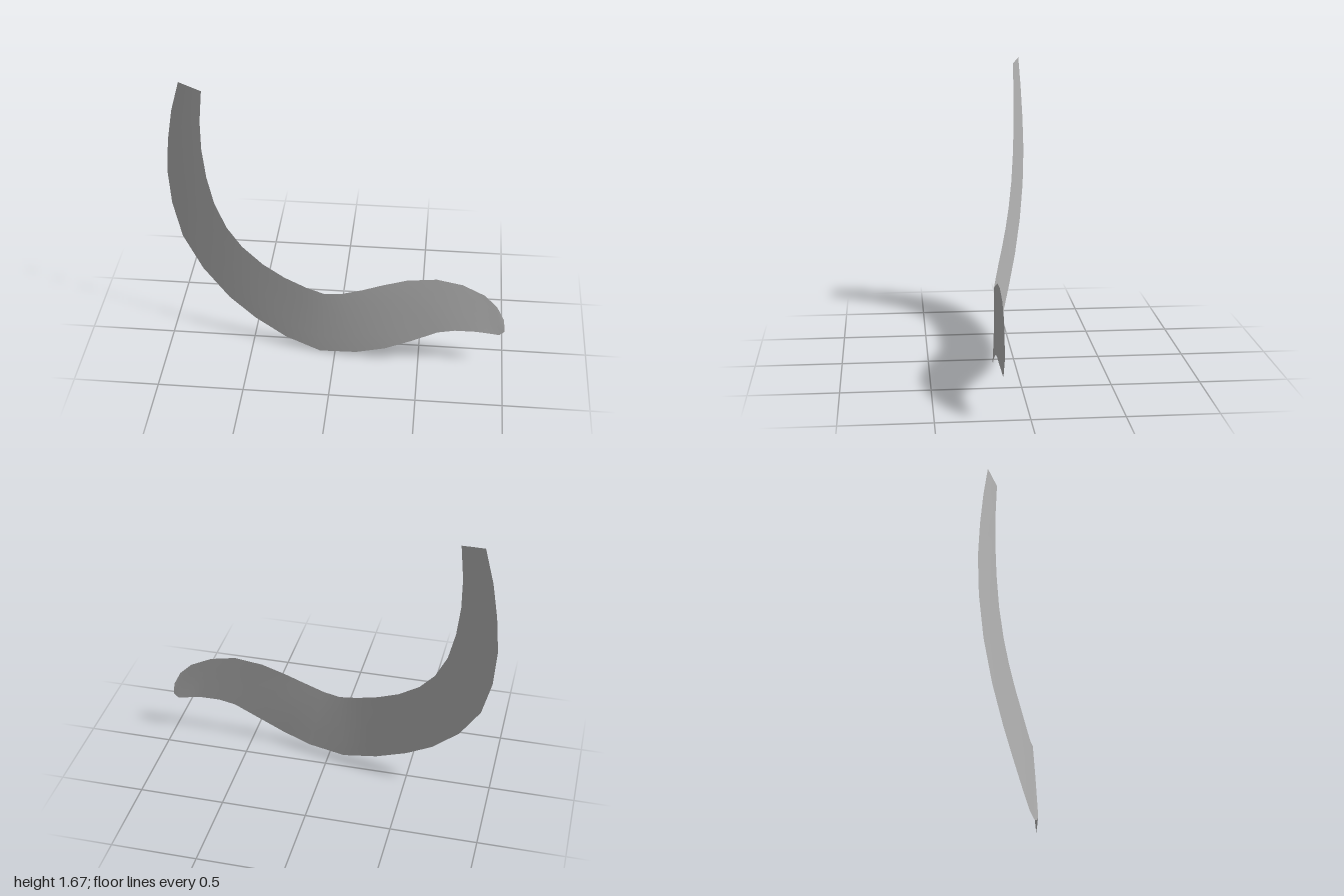
import * as THREE from 'three';

// Edges of the ribbon as x, y pairs, from the narrow tip to the rounded end
const OUTER = [
  [-0.89, 1.675], [-0.945, 1.48], [-0.98, 1.28], [-1, 1.07], [-0.985, 0.85], [-0.93, 0.63], [-0.81, 0.43],
  [-0.65, 0.265], [-0.49, 0.155], [-0.3, 0.06], [-0.09, 0], [0.13, 0.025], [0.3, 0.08], [0.45, 0.15],
  [0.61, 0.23], [0.71, 0.25], [0.83, 0.25], [0.9, 0.24], [0.97, 0.228], [1, 0.255],
];
const INNER = [
  [-0.755, 1.65], [-0.775, 1.45], [-0.775, 1.27], [-0.755, 1.09], [-0.715, 0.92], [-0.645, 0.77], [-0.555, 0.66],
  [-0.43, 0.565], [-0.3, 0.5], [-0.17, 0.455], [-0.06, 0.43], [0.04, 0.445], [0.16, 0.485], [0.28, 0.53],
  [0.42, 0.575], [0.59, 0.595], [0.74, 0.565], [0.87, 0.5], [0.945, 0.425], [0.99, 0.335],
];

// Backward sweep of the sheet as x, z pairs
const SWEEP = [
  [-1, -0.155], [-0.93, -0.125], [-0.81, -0.083], [-0.65, -0.03], [-0.55, 0], [-0.43, 0.032], [-0.3, 0.063],
  [-0.09, 0.104], [0.13, 0.125], [0.3, 0.135], [0.5, 0.14], [0.8, 0.139], [1, 0.137],
];

function sweepDepth(x) {
  let i = 0;
  while (i < SWEEP.length - 2 && x > SWEEP[i + 1][0]) i++;
  const [x0, z0] = SWEEP[i], [x1, z1] = SWEEP[i + 1];
  return z0 + (z1 - z0) * (x - x0) / (x1 - x0);
}

// The wide end leans slightly, its lower edge forward
function lean(x, v) {
  const amount = THREE.MathUtils.smoothstep(x, 0, 0.4) * (1 - 0.7 * THREE.MathUtils.smoothstep(x, 0.8, 1));
  return 0.026 * amount * (0.5 - v);
}

export function createModel() {
  const across = 4;
  const positions = [], index = [];
  OUTER.forEach(([ox, oy], i) => {
    const [ix, iy] = INNER[i];
    for (let j = 0; j <= across; j++) {
      const v = j / across;
      const x = ox + (ix - ox) * v;
      positions.push(x, oy + (iy - oy) * v, sweepDepth(x) + lean(x, v));
      if (i < OUTER.length - 1 && j < across) {
        const a = i * (across + 1) + j, b = a + across + 1;
        index.push(a, b, a + 1, b, b + 1, a + 1);
      }
    }
  });

  const geometry = new THREE.BufferGeometry();
  geometry.setAttribute('position', new THREE.Float32BufferAttribute(positions, 3));
  geometry.setIndex(index);
  geometry.computeVertexNormals();

  const grey = new THREE.MeshStandardMaterial({ color: 0xb8b8b8, side: THREE.DoubleSide });
  grey.name = 'grey';
  const ribbon = new THREE.Mesh(geometry, grey);
  ribbon.name = 'curvedRibbon';

  const group = new THREE.Group();
  group.name = 'ribbonModel';
  group.add(ribbon);
  return group;
}
